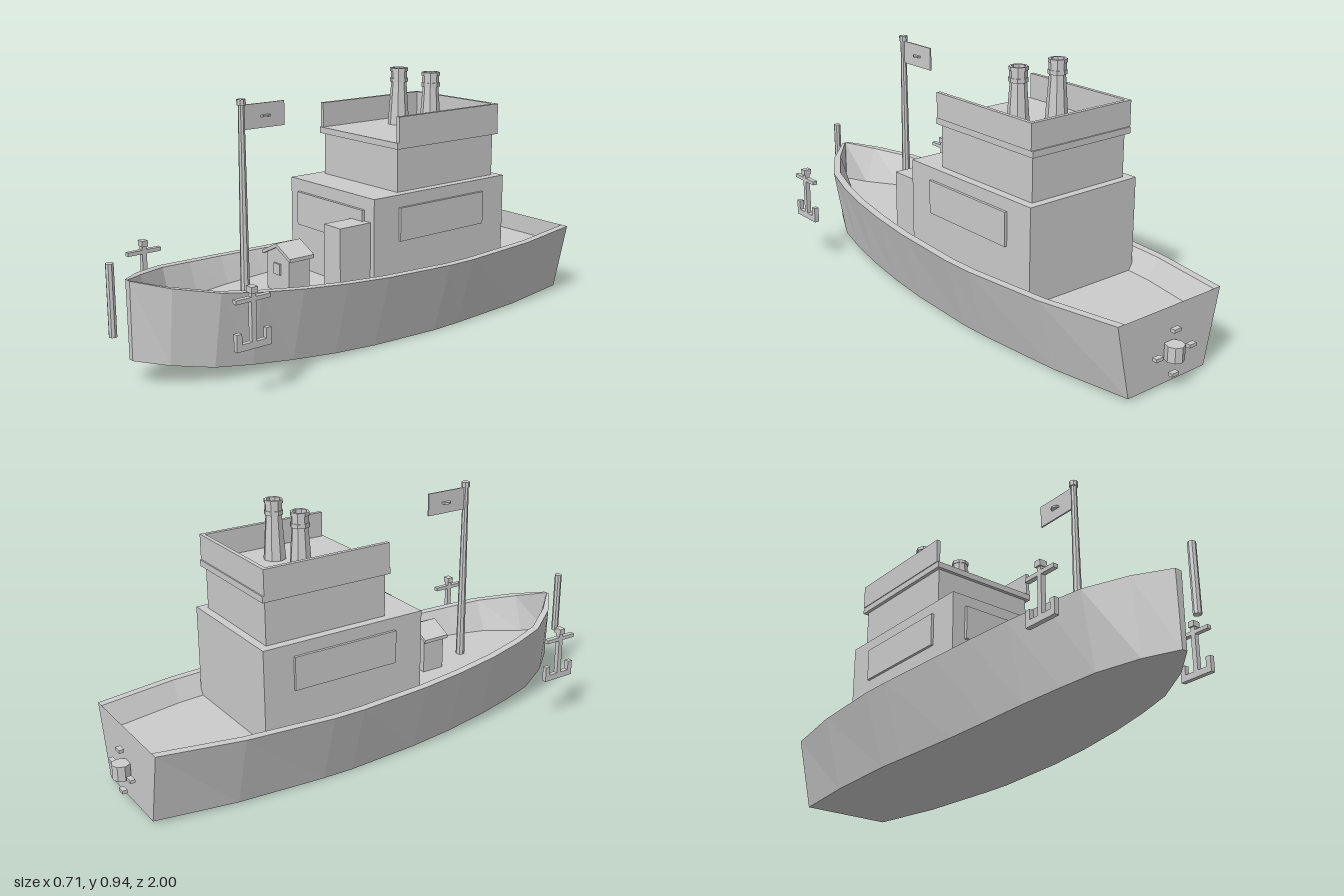
import * as THREE from 'three';

const grey = new THREE.MeshStandardMaterial({ color: 0xcccccc, flatShading: true });
const greyThin = new THREE.MeshStandardMaterial({ color: 0xcccccc, flatShading: true, side: THREE.DoubleSide });

const DECK = 0.2;

function add(parent, name, geo, x = 0, y = 0, z = 0, mat = grey) {
  const m = new THREE.Mesh(geo, mat);
  m.name = name;
  m.position.set(x, y, z);
  parent.add(m);
  return m;
}

// Box given by its extents on each axis
function block(parent, name, [x0, x1], [y0, y1], [z0, z1]) {
  return add(parent, name, new THREE.BoxGeometry(x1 - x0, y1 - y0, z1 - z0),
    (x0 + x1) / 2, (y0 + y1) / 2, (z0 + z1) / 2);
}

function hullGeometry() {
  // z, half width at the rim, rim height, keel height
  const stations = [
    [-0.94, 0.235, 0.275, 0.01], [-0.645, 0.292, 0.272, 0.004], [-0.32, 0.32, 0.27, 0.002],
    [-0.2, 0.32, 0.27, 0], [0.08, 0.305, 0.275, 0.004], [0.25, 0.29, 0.283, 0.012],
    [0.42, 0.268, 0.294, 0.025], [0.57, 0.237, 0.306, 0.038], [0.7, 0.2, 0.32, 0.052],
    [0.83, 0.115, 0.34, 0.071], [0.925, 0.014, 0.36, 0.088],
  ];
  const rings = stations.map(([z, w, top, keel]) => {
    const rim = Math.max(w - 0.03, 0.001);
    const floor = Math.max(w - 0.075, 0.0005);
    const half = [[w * 0.75, keel], [w, top], [rim, top], [floor, DECK]];
    const other = half.map(([x, y]) => [-x, y]).reverse();
    return [...half, ...other].map(([x, y]) => [x, y, z]);
  });
  const pos = [];
  const quad = (a, b, c, d) => pos.push(...a, ...b, ...c, ...a, ...c, ...d);
  for (let i = 0; i < rings.length - 1; i++) {
    const r = rings[i], s = rings[i + 1];
    for (let j = 0; j < 8; j++) {
      const k = (j + 1) % 8;
      quad(r[j], r[k], s[k], s[j]);
    }
  }
  // Transom and narrow stem
  const stern = rings[0], bow = rings[rings.length - 1];
  quad(stern[0], stern[7], stern[6], stern[1]);
  quad(bow[0], bow[1], bow[6], bow[7]);
  const geo = new THREE.BufferGeometry();
  geo.setAttribute('position', new THREE.Float32BufferAttribute(pos, 3));
  geo.computeVertexNormals();
  return geo;
}

function buildSuperstructure(parent) {
  const g = new THREE.Group();
  g.name = 'superstructure';
  parent.add(g);
  block(g, 'lowerCabin', [-0.24, 0.24], [DECK, 0.543], [-0.545, 0.095]);
  block(g, 'upperCabin', [-0.207, 0.207], [0.543, 0.7], [-0.515, -0.04]);
  block(g, 'roofSlab', [-0.22, 0.22], [0.7, 0.723], [-0.53, -0.027]);
  block(g, 'frontWindow', [-0.188, 0.188], [0.372, 0.497], [0.09, 0.107]);
  block(g, 'deckLocker', [0.13, 0.22], [DECK, 0.457], [0.09, 0.23]);
  // Parapet, open towards the bow
  block(g, 'rearParapet', [-0.223, 0.223], [0.723, 0.815], [-0.525, -0.51]);
  for (const s of [-1, 1]) {
    const span = (a, b) => (s > 0 ? [a, b] : [-b, -a]);
    block(g, 'sideParapet', span(0.208, 0.223), [0.723, 0.815], [-0.51, -0.033]);
    block(g, 'sideWindow', span(0.235, 0.25), [0.375, 0.497], [-0.43, -0.02]);
    // Hollow funnel with two bands
    const profile = [[0.041, 0.72], [0.029, 0.885], [0.034, 0.885], [0.034, 0.9], [0.031, 0.9],
      [0.031, 0.925], [0.034, 0.925], [0.034, 0.938], [0.025, 0.938], [0.025, 0.86], [0, 0.86]];
    add(g, 'funnel', new THREE.LatheGeometry(profile.map(p => new THREE.Vector2(...p)), 8),
      s * 0.088, 0, -0.305, greyThin);
  }
}

function buildMast(parent) {
  const g = new THREE.Group();
  g.name = 'mast';
  g.position.z = 0.475;
  parent.add(g);
  add(g, 'mastPole', new THREE.CylinderGeometry(0.011, 0.017, 0.68, 8), 0, DECK + 0.34, 0);
  add(g, 'mastCap', new THREE.CylinderGeometry(0.016, 0.016, 0.02, 8), 0, 0.89, 0);
  block(g, 'flag', [-0.003, 0.003], [0.795, 0.88], [-0.175, -0.005]);
  add(g, 'flagDisc', new THREE.CylinderGeometry(0.02, 0.02, 0.007, 8), 0, 0.836, -0.095);
}

// Small gabled hatch on the foredeck
function buildHatch(parent) {
  const g = new THREE.Group();
  g.name = 'deckHatch';
  parent.add(g);
  const wall = new THREE.Shape([[-0.065, DECK], [0.065, DECK], [0.065, 0.335], [0, 0.366], [-0.065, 0.335]]
    .map(p => new THREE.Vector2(...p)));
  add(g, 'hatchBody', new THREE.ExtrudeGeometry(wall, { depth: 0.09, bevelEnabled: false }), 0, 0, 0.245);
  const roof = new THREE.Shape([[-0.082, 0.325], [0, 0.364], [0.082, 0.325], [0.082, 0.338], [0, 0.378], [-0.082, 0.338]]
    .map(p => new THREE.Vector2(...p)));
  add(g, 'hatchRoof', new THREE.ExtrudeGeometry(roof, { depth: 0.106, bevelEnabled: false }), 0, 0, 0.237);
  block(g, 'hatchWindow', [-0.018, 0.018], [0.265, 0.305], [0.333, 0.342]);
}

function buildAnchor(parent, side) {
  const g = new THREE.Group();
  g.name = side > 0 ? 'leftAnchor' : 'rightAnchor';
  g.position.set(side * 0.341, 0, 0.678);
  parent.add(g);
  const t = [-0.009, 0.009];
  block(g, 'anchorHead', [-0.015, 0.015], [0.355, 0.376], [-0.012, 0.012]);
  block(g, 'anchorShank', t, [0.19, 0.356], [-0.009, 0.009]);
  block(g, 'anchorStock', t, [0.328, 0.342], [-0.066, 0.066]);
  block(g, 'anchorCrown', t, [0.172, 0.195], [-0.066, 0.066]);
  for (const s of [-1, 1]) {
    const a = s * 0.066, b = s * 0.046;
    block(g, 'anchorFluke', t, [0.19, 0.23], [Math.min(a, b), Math.max(a, b)]);
  }
}

function buildPropeller(parent) {
  const g = new THREE.Group();
  g.name = 'propeller';
  g.position.set(0, 0.127, -0.966);
  parent.add(g);
  add(g, 'propellerHub', new THREE.CylinderGeometry(0.033, 0.033, 0.054, 8), 0, 0, 0);
  for (let i = 0; i < 4; i++) {
    const a = i * Math.PI / 2;
    add(g, 'propellerBlade', new THREE.BoxGeometry(0.032, 0.012, 0.018),
      0.077 * Math.cos(a), 0.077 * Math.sin(a), 0);
  }
}

export function createModel() {
  const ship = new THREE.Group();
  ship.name = 'ship';
  add(ship, 'hull', hullGeometry(), 0, 0, 0, greyThin);
  add(ship, 'bowPost', new THREE.CylinderGeometry(0.014, 0.014, 0.245, 8), 0, 0.305, 0.985);
  buildSuperstructure(ship);
  buildMast(ship);
  buildHatch(ship);
  for (const s of [-1, 1]) buildAnchor(ship, s);
  buildPropeller(ship);
  return ship;
}
